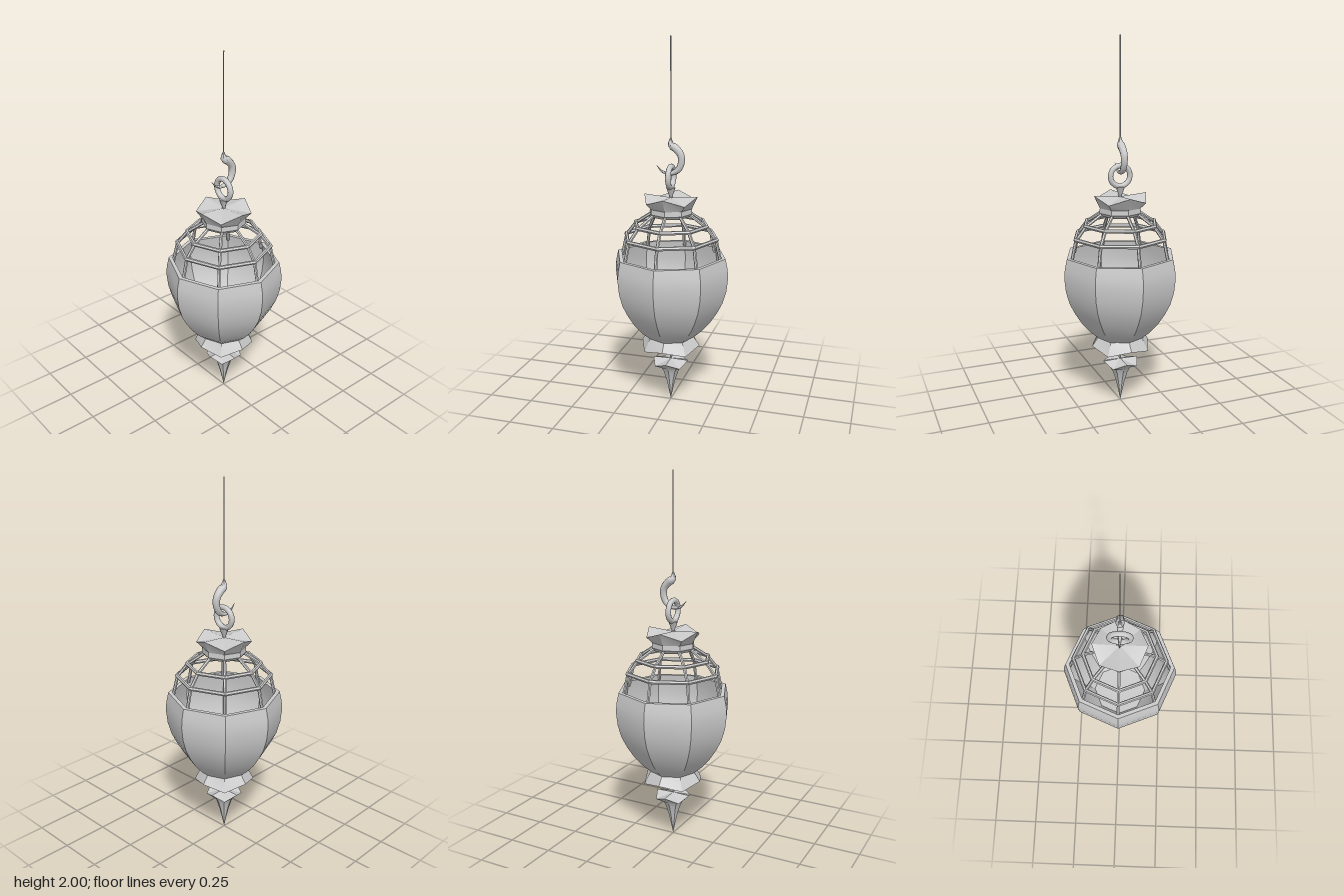
import * as THREE from 'three';
import { toCreasedNormals } from 'three/addons/utils/BufferGeometryUtils.js';

const smooth = new THREE.MeshStandardMaterial({ color: 0xcccccc });
const flat = new THREE.MeshStandardMaterial({ color: 0xcccccc, flatShading: true });
const V = (x, y, z) => new THREE.Vector3(x, y, z);

// Eight-sided turned form from [radius, y, dip]; dip shifts the diagonal corners in height.
function octagon(profile) {
  const g = new THREE.LatheGeometry(profile.map(([r, y]) => new THREE.Vector2(r, y)), 8);
  const p = g.attributes.position;
  for (let i = 0; i < p.count; i++) {
    const side = Math.floor(i / profile.length);
    const dip = profile[i % profile.length][2] || 0;
    if (side % 2) p.setY(i, p.getY(i) + dip);
  }
  return toCreasedNormals(g, 0.45);
}

// Tube whose thickness follows radiusAt(t).
function taperedTube(points, segments, sides, radiusAt) {
  const curve = new THREE.CatmullRomCurve3(points);
  const g = new THREE.TubeGeometry(curve, segments, 1, sides);
  const p = g.attributes.position, v = V(0, 0, 0);
  for (let i = 0; i < p.count; i++) {
    const t = Math.floor(i / (sides + 1)) / segments;
    const c = curve.getPointAt(t);
    v.fromBufferAttribute(p, i).sub(c).multiplyScalar(radiusAt(t)).add(c);
    p.setXYZ(i, v.x, v.y, v.z);
  }
  return toCreasedNormals(g, 0.9);
}

// Straight bar between two points.
function bar(a, b, r, sides) {
  const d = b.clone().sub(a);
  const m = new THREE.Mesh(new THREE.CylinderGeometry(r, r, d.length(), sides), flat);
  m.position.copy(a).add(b).multiplyScalar(0.5);
  m.quaternion.setFromUnitVectors(V(0, 1, 0), d.normalize());
  return m;
}

export function createModel() {
  const model = new THREE.Group();
  model.name = 'hangingLantern';
  const add = (name, obj) => { obj.name = name; model.add(obj); return obj; };

  // Hollow bowl: outer wall up, over the rim, inner wall down
  add('bowl', new THREE.Mesh(octagon([
    [0, 0.39], [0.13, 0.39], [0.175, 0.43], [0.222, 0.485], [0.26, 0.545], [0.29, 0.605],
    [0.31, 0.675], [0.318, 0.75], [0.314, 0.80], [0.302, 0.855], [0.28, 0.855],
    [0.297, 0.75], [0.288, 0.675], [0.268, 0.605], [0.238, 0.545], [0.2, 0.485], [0.15, 0.43], [0, 0.42],
  ]), smooth));

  // Flared foot with wavy hem
  add('foot', new THREE.Mesh(octagon([
    [0, 0.375], [0.165, 0.347, -0.027], [0.122, 0.405],
  ]), smooth));

  // Cage rings and ribs
  for (const [r, y] of [[0.253, 0.955], [0.198, 1.023]]) {
    const g = new THREE.TorusGeometry(r, 0.011, 6, 8).rotateX(Math.PI / 2);
    add('cageRing', new THREE.Mesh(g, flat));
    model.children.at(-1).position.y = y;
  }
  const ribPath = [[0.277, 0.83], [0.25, 0.95], [0.196, 1.02], [0.1, 1.085]];
  for (let i = 0; i < 8; i++) {
    const a = i * Math.PI / 4;
    const pts = ribPath.map(([r, y]) => V(r * Math.sin(a), y, r * Math.cos(a)));
    const rib = add('cageRib', new THREE.Group());
    for (let k = 0; k < 3; k++) rib.add(bar(pts[k], pts[k + 1], 0.009, 6));
  }

  // Horned cap
  add('cap', new THREE.Mesh(octagon([
    [0, 1.075], [0.102, 1.07], [0.118, 1.088], [0.116, 1.115], [0.147, 1.182, -0.036], [0, 1.17],
  ]), smooth));

  // Ring and its stem
  const ring = add('ring', new THREE.Mesh(new THREE.TorusGeometry(0.055, 0.015, 8, 20), smooth));
  ring.position.y = 1.28;
  const stem = add('ringStem', new THREE.Mesh(new THREE.CylinderGeometry(0.026, 0.009, 0.045, 8), smooth));
  stem.position.y = 1.2;
  add('ringStemFoot', bar(V(0, 1.15, 0), V(0, 1.19, 0), 0.009, 8));

  // Hook, thick in the middle and pointed at both ends
  add('hook', new THREE.Mesh(taperedTube([
    V(0, 1.487, 0), V(0, 1.45, -0.002), V(0, 1.432, -0.026), V(0, 1.4, -0.053), V(0, 1.36, -0.057),
    V(0, 1.32, -0.04), V(0, 1.3, -0.005), V(0, 1.305, 0.045), V(0, 1.342, 0.08),
  ], 28, 8, t => t < 0.14 ? 0.004 + 0.018 * t / 0.14
    : t < 0.55 ? 0.022 - 0.005 * (t - 0.14) / 0.41
      : 0.017 * (1 - t) / 0.45 + 0.0005), smooth));

  // Hanging line
  add('line', bar(V(0, 1.47, 0), V(0, 2, 0), 0.003, 6));

  // Pendant on a thin rod
  add('pendantRod', bar(V(0, 0.23, 0), V(0, 0.39, 0), 0.005, 6));
  add('pendant', new THREE.Mesh(octagon([
    [0, 0], [0.012, 0.06], [0.026, 0.12], [0.043, 0.175], [0.058, 0.205],
    [0.1, 0.248, -0.027], [0, 0.25],
  ]), smooth));

  return model;
}
